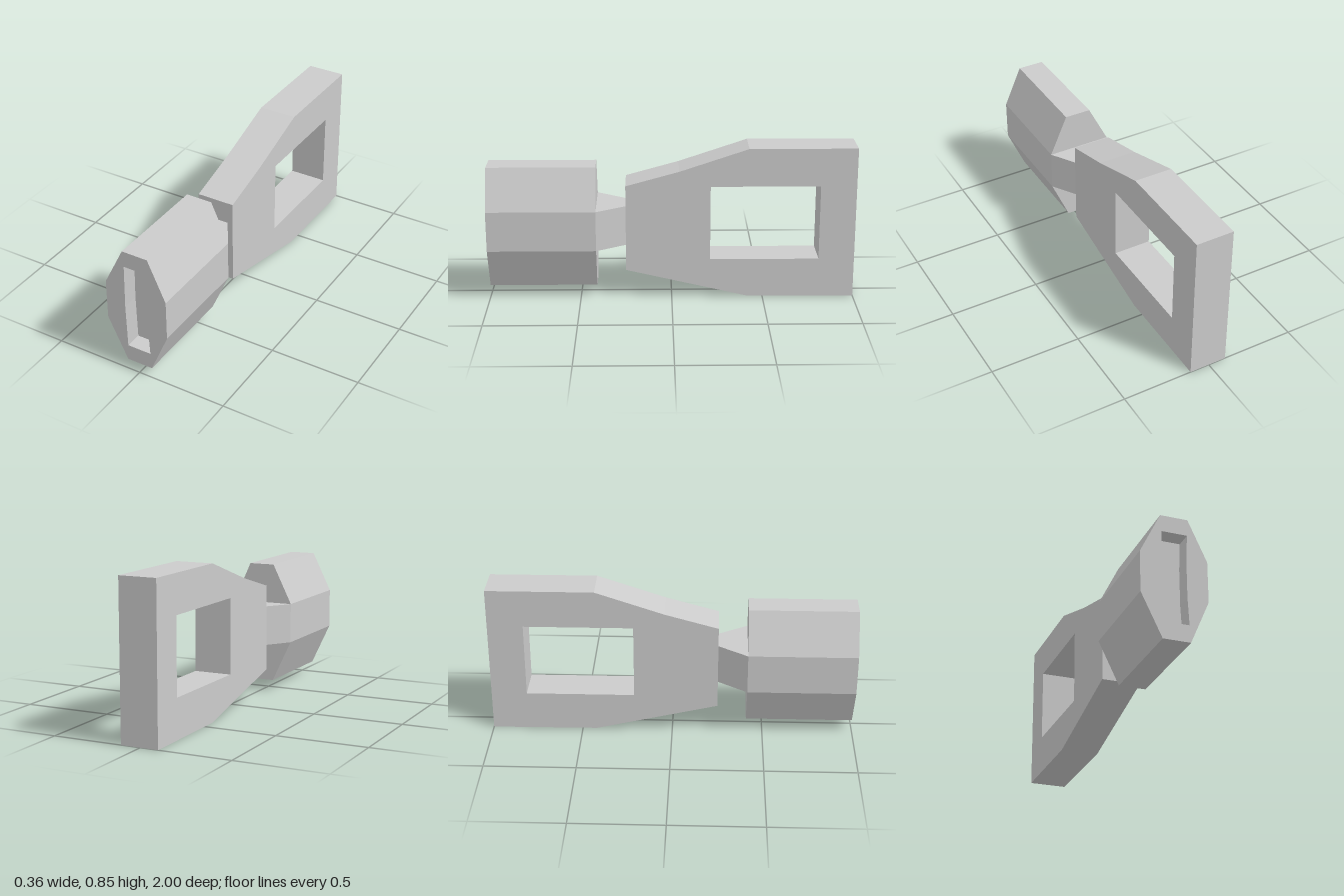
import * as THREE from 'three';

const material = new THREE.MeshStandardMaterial({ color: 0xcccccc, flatShading: true });
const points = (list) => list.map(([x, y]) => new THREE.Vector2(x, y));

// Straight extrusion of an outline, with optional holes
function extrude(outline, depth, holes = []) {
  const shape = new THREE.Shape(points(outline));
  holes.forEach((h) => shape.holes.push(new THREE.Path(points(h))));
  return new THREE.ExtrudeGeometry(shape, { depth, bevelEnabled: false });
}

function part(name, geometry) {
  const mesh = new THREE.Mesh(geometry, material);
  mesh.name = name;
  return mesh;
}

export function createModel() {
  const group = new THREE.Group();
  group.name = 'buckle';

  // Flat plate with a rectangular strap window; outline is drawn as (-z, y)
  const plate = extrude(
    [[-0.25, 0.16], [0.42, 0.003], [1, 0], [1, 0.845], [0.415, 0.845], [0.04, 0.72], [-0.25, 0.64]],
    0.21,
    [[[0.21, 0.22], [0.21, 0.635], [0.805, 0.635], [0.805, 0.22]]],
  );
  plate.rotateY(Math.PI / 2).translate(-0.1, 0, 0);
  group.add(part('strapPlate', plate));

  // Neck: a box that narrows towards the plate
  const neck = new THREE.BoxGeometry(0.356, 0.222, 0.16);
  const pos = neck.attributes.position;
  for (let i = 0; i < pos.count; i++) {
    if (pos.getZ(i) < 0) pos.setX(i, pos.getX(i) > 0 ? 0.078 : -0.068);
  }
  neck.translate(0, 0.406, 0.33);
  neck.computeVertexNormals();
  group.add(part('neck', neck));

  // Eight-sided housing
  const octagon = [
    [-0.068, 0.062], [0.078, 0.062], [0.178, 0.295], [0.178, 0.517],
    [0.078, 0.738], [-0.068, 0.738], [-0.178, 0.517], [-0.178, 0.295],
  ];
  const slot = [
    [-0.062, 0.154], [-0.067, 0.4], [-0.062, 0.648],
    [0.073, 0.648], [0.066, 0.5], [0.066, 0.3], [0.073, 0.154],
  ];
  const slotDepth = 0.09;
  const housing = new THREE.Group();
  housing.name = 'housing';
  housing.add(
    part('housingBody', extrude(octagon, 0.59 - slotDepth).translate(0, 0, 0.41)),
    // Front rim with the shallow release slot
    part('slottedFront', extrude(octagon, slotDepth, [slot]).translate(0, 0, 1 - slotDepth)),
  );
  group.add(housing);

  return group;
}
